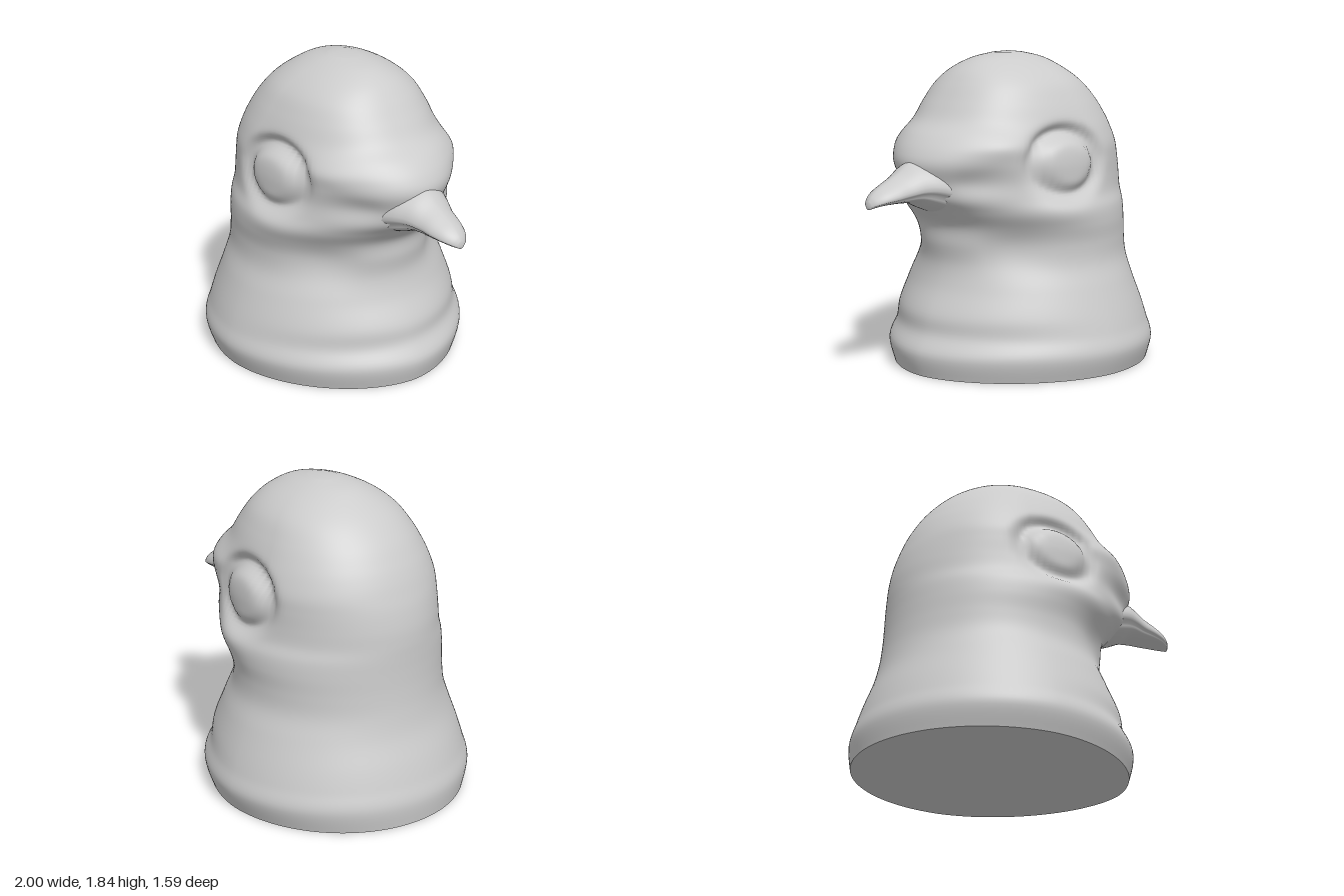
import * as THREE from 'three';

const material = new THREE.MeshStandardMaterial({ color: 0xcccccc });

// Catmull-Rom sampling of a table of rows at u in 0..1
function sampleRows(rows, u) {
  const f = u * (rows.length - 1);
  const i = Math.min(Math.floor(f), rows.length - 2);
  const t = f - i;
  const row = (k) => rows[Math.max(0, Math.min(rows.length - 1, k))];
  return rows[0].map((_, c) => {
    const [a, b, d, e] = [row(i - 1)[c], row(i)[c], row(i + 1)[c], row(i + 2)[c]];
    return b + 0.5 * t * (d - a + t * (2 * a - 5 * b + 4 * d - e + t * (3 * (b - d) + e - a)));
  });
}

// Skin through closed rings, finished with a point at the tip
function loft(name, rings, sides, ringPoint, tip) {
  const pos = [], index = [];
  for (let i = 0; i <= rings; i++)
    for (let j = 0; j < sides; j++) pos.push(...ringPoint(i / rings, (j / sides) * Math.PI * 2));
  pos.push(...tip);
  const last = (rings + 1) * sides;
  for (let i = 0; i <= rings; i++)
    for (let j = 0; j < sides; j++) {
      const a = i * sides + j, b = i * sides + ((j + 1) % sides);
      if (i === rings) index.push(a, last, b);
      else index.push(a, a + sides, b, b, a + sides, b + sides);
    }
  const g = new THREE.BufferGeometry();
  g.setAttribute('position', new THREE.Float32BufferAttribute(pos, 3));
  g.setIndex(index);
  g.computeVertexNormals();
  const mesh = new THREE.Mesh(g, material);
  mesh.name = name;
  return mesh;
}

// Head and neck levels: y, back x, front x, half width, x of widest point, front roundness
const levels = [
  [0, -0.99, 0.62, 0.755, -0.2, 1.8],
  [0.13, -1.0, 0.645, 0.795, -0.2, 1.8],
  [0.24, -0.97, 0.585, 0.765, -0.2, 1.8],
  [0.35, -0.935, 0.565, 0.73, -0.2, 1.85],
  [0.5, -0.88, 0.49, 0.675, -0.2, 1.9],
  [0.63, -0.852, 0.455, 0.625, -0.2, 1.9],
  [0.75, -0.838, 0.465, 0.615, -0.2, 1.9],
  [0.86, -0.832, 0.475, 0.625, -0.17, 1.9],
  [0.95, -0.83, 0.55, 0.62, -0.15, 1.85],
  [1.03, -0.828, 0.63, 0.59, -0.15, 1.85],
  [1.12, -0.82, 0.66, 0.575, -0.17, 1.9],
  [1.22, -0.8, 0.69, 0.57, -0.18, 1.95],
  [1.3, -0.775, 0.665, 0.56, -0.2, 2],
  [1.38, -0.745, 0.6, 0.535, -0.2, 2.05],
  [1.46, -0.705, 0.5, 0.5, -0.2, 2.2],
  [1.56, -0.64, 0.425, 0.45, -0.18, 2.3],
  [1.66, -0.545, 0.35, 0.385, -0.15, 2.3],
  [1.74, -0.435, 0.27, 0.29, -0.12, 2.2],
  [1.8, -0.32, 0.16, 0.175, -0.1, 2],
  [1.83, -0.18, 0.01, 0.08, -0.1, 2],
];

const bump = (x, y, cx, cy, rx, ry) => Math.exp(-(((x - cx) / rx) ** 2) - ((y - cy) / ry) ** 2);

function headPoint(u, t) {
  const [y, back, front, width, xc, n] = sampleRows(levels, u);
  const c = Math.cos(t), s = Math.sin(t);
  const e = c > 0 ? 2 / n : 1;
  const x = xc + (c > 0 ? front - xc : xc - back) * Math.sign(c) * Math.abs(c) ** e;
  const side = Math.abs(s) ** e;
  // Eye socket ring with the eyeball bulging inside, deeper above and behind
  const d = Math.hypot((x + 0.03) / 0.23, (y - 1.22) / 0.175);
  const ring = Math.exp(-(((d - 1) / 0.24) ** 2));
  const depth = 0.04 + 0.02 * Math.max(0, Math.min(1, (y - 1.15) / 0.2));
  let dz = -depth * ring + 0.012 * Math.max(0, 1 - d * d);
  // Brow, lore hollow, cheek and the fold below the jaw
  dz += 0.03 * bump(x, y, 0.38, 1.33, 0.16, 0.07);
  dz -= 0.035 * bump(x, y, 0.5, 1.13, 0.14, 0.08);
  dz += 0.025 * bump(x, y, 0.1, 0.95, 0.22, 0.09);
  dz -= 0.05 * bump(x, y, 0.28, 0.75, 0.16, 0.13);
  const z = Math.sign(s) * Math.max(0, width * side + dz * Math.min(1, side * 2));
  return [x, y, z];
}

// Beak stations: x, top y, edge y, bottom y, half width
const stations = [
  [0.5, 1.24, 1.05, 0.93, 0.24],
  [0.62, 1.25, 1.085, 0.975, 0.2],
  [0.7, 1.235, 1.09, 1.01, 0.16],
  [0.78, 1.185, 1.075, 1.018, 0.127],
  [0.86, 1.145, 1.06, 1.02, 0.11],
  [0.93, 1.11, 1.045, 1.018, 0.085],
  [0.975, 1.075, 1.03, 1.01, 0.052],
  [0.995, 1.045, 1.02, 1.003, 0.022],
];

function beakPoint(u, t) {
  const [x, top, edge, bottom, w] = sampleRows(stations, u);
  const c = Math.cos(t), s = Math.sin(t);
  const y = edge + c * (c > 0 ? top - edge : edge - bottom);
  // Narrow groove where the upper and lower beak meet
  const groove = 1 - 0.12 * Math.exp(-(((c + 0.3) / 0.15) ** 2));
  return [x, y, -w * Math.sign(s) * Math.abs(s) ** 1.25 * groove];
}

export function createModel() {
  const model = new THREE.Group();
  model.name = 'birdHead';
  model.add(loft('headAndNeck', 110, 128, headPoint, [-0.1, 1.838, 0]));
  model.add(loft('beak', 32, 40, beakPoint, [1, 1.02, 0]));

  // Flat underside of the neck
  const outline = [];
  for (let j = 0; j < 128; j++) {
    const [x, , z] = headPoint(0, (j / 128) * Math.PI * 2);
    outline.push(new THREE.Vector2(x, z));
  }
  const base = new THREE.Mesh(new THREE.ShapeGeometry(new THREE.Shape(outline)).rotateX(Math.PI / 2), material);
  base.name = 'neckBase';
  model.add(base);
  return model;
}
